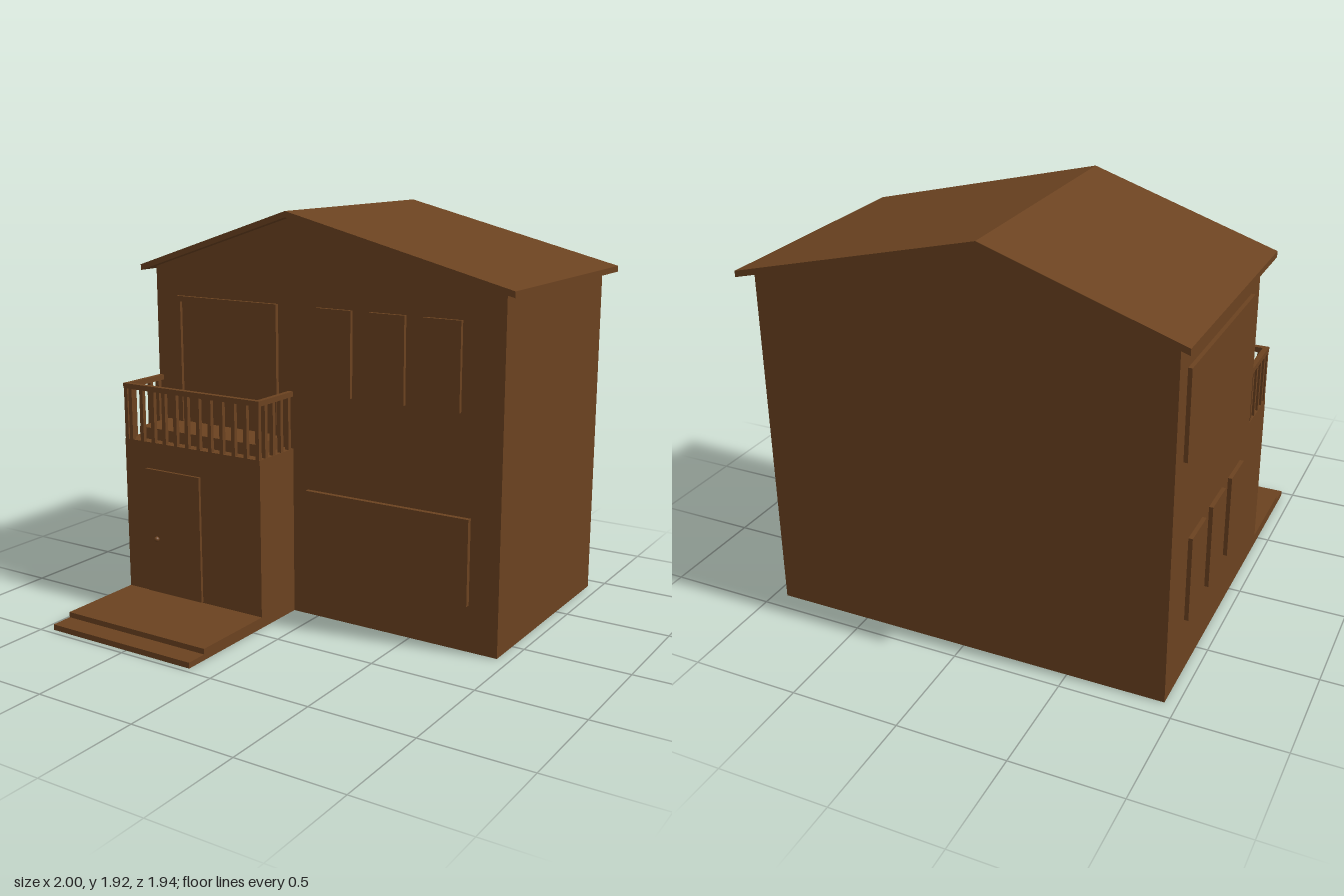
import * as THREE from 'three';

export function createModel() {
  const house = new THREE.Group();
  house.name = 'house';
  const brown = new THREE.MeshStandardMaterial({ color: 0x6b4220 });

  const add = (name, geometry, parent = house) => {
    const mesh = new THREE.Mesh(geometry, brown);
    mesh.name = name;
    parent.add(mesh);
    return mesh;
  };
  // Box given by its extents on each axis
  const box = (name, [x0, x1], [y0, y1], [z0, z1], parent) => {
    const mesh = add(name, new THREE.BoxGeometry(x1 - x0, y1 - y0, z1 - z0), parent);
    mesh.position.set((x0 + x1) / 2, (y0 + y1) / 2, (z0 + z1) / 2);
    return mesh;
  };
  // Outline in x and y, extruded from z0 to z1
  const prism = (name, points, z0, z1, hole) => {
    const shape = new THREE.Shape(points.map(([x, y]) => new THREE.Vector2(x, y)));
    if (hole) shape.holes.push(new THREE.Path(hole.map(([x, y]) => new THREE.Vector2(x, y))));
    const geometry = new THREE.ExtrudeGeometry(shape, { depth: z1 - z0, bevelEnabled: false });
    return add(name, geometry.translate(0, 0, z0));
  };

  // Main walls with off-centre gable
  prism('walls', [[-0.945, 0], [0.942, 0], [0.942, 1.622], [-0.138, 1.895], [-0.945, 1.628]], -0.915, 0.162);

  // Roof: one bent slab
  prism('roof', [
    [-1, 1.607], [-0.138, 1.893], [1, 1.607], [1, 1.635], [-0.138, 1.921], [-1, 1.635],
  ], -0.97, 0.215);

  // Entrance block and steps
  const px = [-0.945, -0.138];
  box('entranceBlock', px, [0, 0.81], [0.15, 0.432]);
  box('upperStep', px, [0, 0.053], [0.43, 0.865]);
  box('lowerStep', px, [0, 0.027], [0.43, 0.97]);
  box('balconyFloor', [-0.895, -0.193], [0.8, 0.866], [0.15, 0.38]);

  // Front door with knob
  box('frontDoor', [-0.812, -0.485], [0.058, 0.68], [0.42, 0.446]);
  const knob = add('doorKnob', new THREE.SphereGeometry(0.013, 16, 12));
  knob.position.set(-0.745, 0.335, 0.456);

  // Balcony door: raised frame around a recessed pane
  prism('balconyDoorFrame',
    [[-0.812, 0.82], [-0.218, 0.82], [-0.218, 1.49], [-0.812, 1.49]], 0.155, 0.182,
    [[-0.786, 0.85], [-0.786, 1.464], [-0.244, 1.464], [-0.244, 0.85]]);
  box('balconyDoorPane', [-0.79, -0.24], [0.84, 1.47], [0.15, 0.166]);

  // Front windows
  for (let i = 0; i < 3; i++) {
    const x = 0.003 + i * 0.276;
    box('upperFrontWindow', [x, x + 0.185], [1.088, 1.49], [0.15, 0.18]);
  }
  box('lowerFrontWindow', [-0.055, 0.798], [0.22, 0.622], [0.15, 0.186]);

  // Right side windows
  box('upperSideWindow', [-0.963, -0.93], [1.088, 1.49], [-0.82, 0.035]);
  for (let i = 0; i < 3; i++) {
    const z = -0.7 + i * 0.276;
    box('lowerSideWindow', [-0.964, -0.93], [0.275, 0.677], [z, z + 0.185]);
  }

  // Balcony railing: handrails and balusters on three sides
  const railing = new THREE.Group();
  railing.name = 'balconyRailing';
  house.add(railing);
  const [x0, x1] = px;
  box('frontHandrail', px, [1.06, 1.085], [0.408, 0.434], railing);
  box('rightHandrail', [x0, x0 + 0.025], [1.06, 1.085], [0.16, 0.41], railing);
  box('leftHandrail', [x1 - 0.025, x1], [1.06, 1.085], [0.16, 0.41], railing);
  const baluster = (x, z) =>
    box('baluster', [x - 0.01, x + 0.01], [0.805, 1.065], [z - 0.01, z + 0.01], railing);
  for (let i = 0; i < 12; i++) baluster(-0.905 + i * 0.0685, 0.422);
  baluster(x0 + 0.012, 0.422);
  for (let i = 0; i < 4; i++) {
    baluster(x0 + 0.012, 0.375 - i * 0.062);
    baluster(x1 - 0.012, 0.375 - i * 0.062);
  }
  return house;
}
